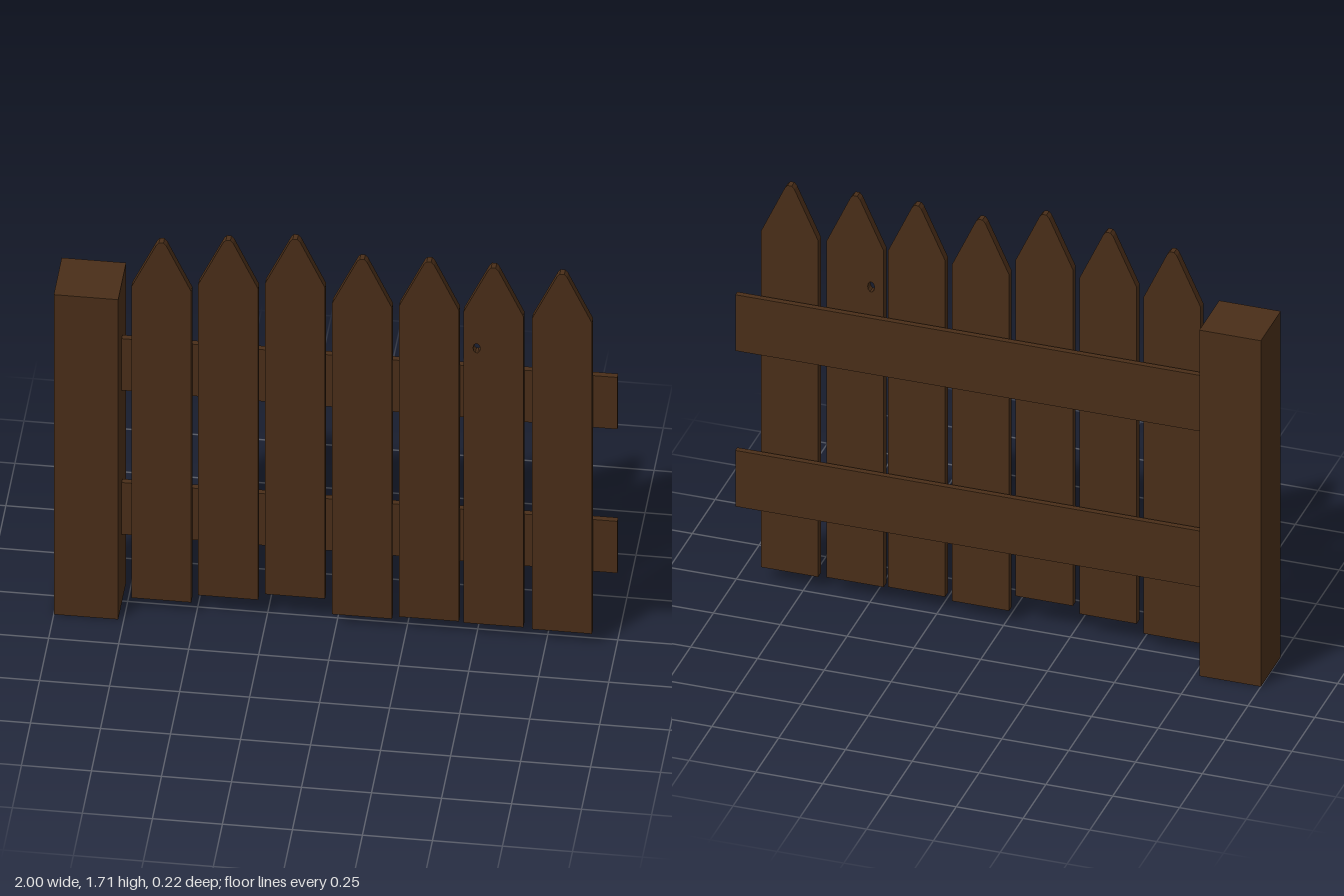
import * as THREE from 'three';

const wood = new THREE.MeshStandardMaterial({ color: 0x4a2e18, flatShading: true });

// Axis-aligned board given by its min and max corners
function board(name, [x0, y0, z0], [x1, y1, z1]) {
  const mesh = new THREE.Mesh(new THREE.BoxGeometry(x1 - x0, y1 - y0, z1 - z0), wood);
  mesh.position.set((x0 + x1) / 2, (y0 + y1) / 2, (z0 + z1) / 2);
  mesh.name = name;
  return mesh;
}

// Pointed picket with a slightly blunted tip, optionally with a knot hole
function picket(x, y, knot) {
  const w = 0.107, shoulder = 1.382, tip = 1.588;
  const shape = new THREE.Shape([
    [-w, 0], [w, 0], [w, shoulder], [0.018, tip - 0.012], [0.008, tip],
    [-0.008, tip], [-0.018, tip - 0.012], [-w, shoulder],
  ].map(([px, py]) => new THREE.Vector2(px, py)));
  if (knot) {
    const hole = new THREE.Path();
    hole.absellipse(knot[0] - x, knot[1] - y, 0.013, 0.021, 0, Math.PI * 2, true);
    shape.holes.push(hole);
  }
  const geometry = new THREE.ExtrudeGeometry(shape, { depth: 0.03, bevelEnabled: false, curveSegments: 5 });
  const mesh = new THREE.Mesh(geometry, wood);
  mesh.position.set(x, y, 0.019);
  mesh.name = 'picket';
  return mesh;
}

export function createModel() {
  const fence = new THREE.Group();
  fence.name = 'picketFence';

  // Square end post
  fence.add(board('post', [-1, 0, -0.109], [-0.77, 1.422, 0.109]));

  // Two horizontal rails behind the pickets
  fence.add(board('lowerRail', [-0.78, 0.305, -0.011], [1, 0.535, 0.011]));
  fence.add(board('upperRail', [-0.78, 0.945, -0.011], [1, 1.175, 0.011]));

  // Pickets: centre x, bottom y, knot hole centre
  const pickets = [
    [-0.624, 0.055], [-0.385, 0.09], [-0.146, 0.118], [0.093, 0.052],
    [0.332, 0.064], [0.562, 0.06, [0.502, 1.285]], [0.807, 0.055],
  ];
  for (const p of pickets) fence.add(picket(...p));

  return fence;
}
